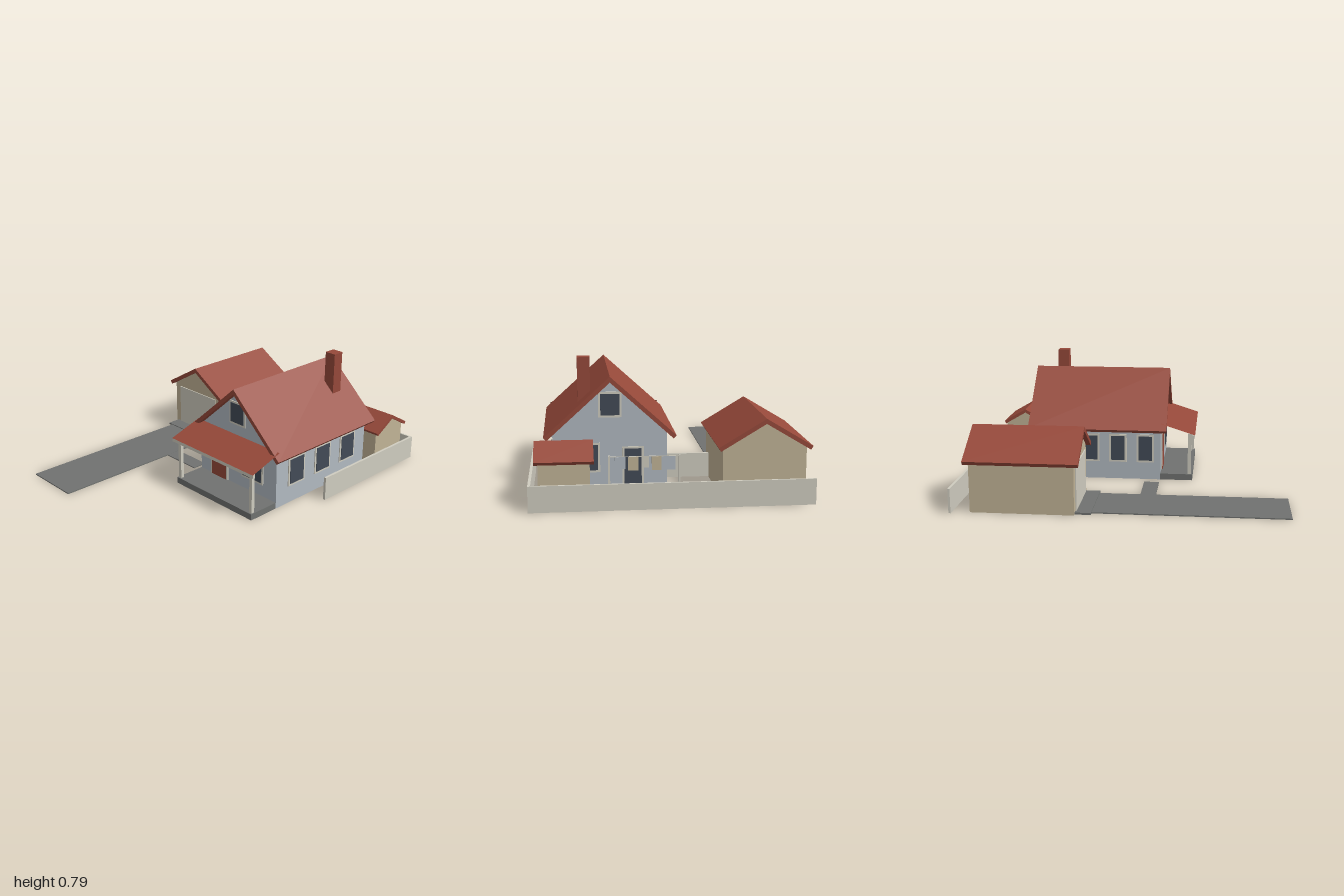
import * as THREE from 'three';

const mat = (name, color) => {
  const m = new THREE.MeshStandardMaterial({ color });
  m.name = name;
  return m;
};

export function createModel() {
  const roofRed = mat('roof red', 0x96493a);
  const wallBlue = mat('wall blue grey', 0xb2bac2);
  const tan = mat('tan siding', 0xc2b497);
  const cream = mat('cream trim', 0xd0cdc0);
  const glass = mat('dark glass', 0x434b57);
  const paving = mat('grey paving', 0x707270);
  const porchRed = mat('porch roof red', 0x96493a);
  porchRed.side = THREE.DoubleSide;

  const model = new THREE.Group();
  model.name = 'houseWithYard';

  const add = (parent, name, geometry, material) => {
    const mesh = new THREE.Mesh(geometry, material);
    mesh.name = name;
    parent.add(mesh);
    return mesh;
  };
  // Box given by its extents on each axis
  const box = (parent, name, material, x0, x1, y0, y1, z0, z1) => {
    const mesh = add(parent, name, new THREE.BoxGeometry(x1 - x0, y1 - y0, z1 - z0), material);
    mesh.position.set((x0 + x1) / 2, (y0 + y1) / 2, (z0 + z1) / 2);
    return mesh;
  };
  const extrude = (points, length) => {
    const shape = new THREE.Shape(points.map(([x, y]) => new THREE.Vector2(x, y)));
    return new THREE.ExtrudeGeometry(shape, { depth: length, bevelEnabled: false })
      .translate(0, 0, -length / 2);
  };

  // Gabled building with its ridge along local z
  const building = (name, wall, o) => {
    const g = new THREE.Group();
    g.name = name;
    const slope = (o.ridge - o.eave) / o.roofHalf;
    const len = Math.hypot(1, slope);
    const dx = o.thick * slope / len, dy = o.thick / len;
    const apex = o.ridge - o.thick * len;
    const top = apex - slope * o.half;
    add(g, name + 'Walls', extrude(
      [[-o.half, 0], [o.half, 0], [o.half, top], [0, apex], [-o.half, top]], o.length), wall);
    add(g, name + 'Roof', extrude([
      [0, o.ridge], [-o.roofHalf, o.eave], [-o.roofHalf + dx, o.eave - dy],
      [0, apex], [o.roofHalf - dx, o.eave - dy], [o.roofHalf, o.eave],
    ], o.roofLength), roofRed);
    model.add(g);
    return g;
  };

  const house = building('house', wallBlue, {
    half: 0.333, length: 0.83, ridge: 0.69, eave: 0.34, roofHalf: 0.385, roofLength: 0.91, thick: 0.025 });
  house.position.set(0.333, 0, -0.225);

  const garage = building('garage', tan, {
    half: 0.24, length: 0.62, ridge: 0.477, eave: 0.315, roofHalf: 0.27, roofLength: 0.68, thick: 0.025 });
  garage.position.set(-0.53, 0, -0.57);

  const shed = building('shed', tan, {
    half: 0.137, length: 0.285, ridge: 0.356, eave: 0.268, roofHalf: 0.152, roofLength: 0.33, thick: 0.02 });
  shed.position.set(0.602, 0, -0.802);
  shed.rotation.y = Math.PI / 2;

  // Framed panel on a wall; angle turns it to face outwards
  const opening = (name, x, z, angle, width, y0, y1, material, sill = 0.013) => {
    const g = new THREE.Group();
    g.name = name;
    const w = width / 2;
    box(g, name + 'Frame', cream, -w - 0.013, w + 0.013, y0 - sill, y1 + 0.012, -0.001, 0.006);
    box(g, name + 'Panel', material, -w, w, y0, y1, 0.005, 0.009);
    g.position.set(x, 0, z);
    g.rotation.y = angle;
    model.add(g);
  };
  opening('frontDoor', 0.173, 0.19, 0, 0.13, 0.04, 0.275, roofRed, 0);
  opening('frontWindow', 0.467, 0.19, 0, 0.157, 0.13, 0.287, glass);
  opening('frontGableWindow', 0.333, 0.19, 0, 0.11, 0.46, 0.585, glass);
  opening('backDoor', 0.2, -0.64, Math.PI, 0.1, 0.015, 0.26, glass);
  opening('backWindow', 0.47, -0.64, Math.PI, 0.13, 0.135, 0.285, glass);
  opening('backGableWindow', 0.333, -0.64, Math.PI, 0.11, 0.46, 0.585, glass);
  for (const z of [0.015, -0.225, -0.465])
    opening('leftWindow', 0.666, z, Math.PI / 2, 0.12, 0.128, 0.29, glass);
  for (const z of [0.09, -0.09, -0.27, -0.45])
    opening('rightWindow', 0, z, -Math.PI / 2, 0.09, 0.128, 0.29, glass);

  box(model, 'chimney', roofRed, 0.443, 0.517, 0.46, 0.787, -0.557, -0.483);
  box(model, 'garageDoor', cream, -0.72, -0.35, 0.01, 0.285, -0.261, -0.253);

  // Porch: slab, posts, front beam and a thin sloping roof
  box(model, 'porchFloor', paving, 0, 0.666, 0, 0.04, 0.19, 0.4);
  for (const x of [0.017, 0.649])
    box(model, 'porchPost', cream, x - 0.011, x + 0.011, 0.04, 0.312, 0.369, 0.391);
  box(model, 'porchBeam', cream, -0.025, 0.69, 0.288, 0.311, 0.398, 0.413);
  const run = 0.222, rise = 0.07;
  const porchRoof = add(model, 'porchRoof', new THREE.PlaneGeometry(0.715, Math.hypot(run, rise)), porchRed);
  porchRoof.position.set(0.333, 0.346, 0.305);
  porchRoof.rotation.x = -Math.atan2(run, rise);

  // Paving
  box(model, 'driveway', paving, -0.72, -0.35, 0, 0.007, -0.2, 1);
  box(model, 'garageApron', paving, -0.75, -0.32, 0, 0.012, -0.27, -0.165);
  box(model, 'path', paving, -0.352, -0.08, 0, 0.006, 0.09, 0.187);

  // Yard walls
  box(model, 'backFence', cream, -0.8, 0.8, 0, 0.15, -1, -0.987);
  box(model, 'sideFence', cream, 0.784, 0.8, 0, 0.15, -0.99, -0.11);
  box(model, 'middleFence', cream, -0.295, 0.005, 0, 0.15, -0.365, -0.35);

  // Clothesline with hanging laundry
  for (const x of [-0.052, 0.348])
    box(model, 'clotheslinePost', cream, x - 0.006, x + 0.006, 0, 0.258, -0.806, -0.794);
  box(model, 'clothesline', cream, -0.052, 0.348, 0.249, 0.253, -0.802, -0.798);
  const laundry = [
    [-0.03, 0.03, 0.17, wallBlue], [0.05, 0.105, 0.17, tan], [0.12, 0.16, 0.185, cream],
    [0.18, 0.24, 0.17, tan], [0.255, 0.315, 0.18, wallBlue],
  ];
  for (const [x0, x1, y0, m] of laundry)
    box(model, 'laundry', m, x0, x1, y0, 0.25, -0.803, -0.797);

  return model;
}
